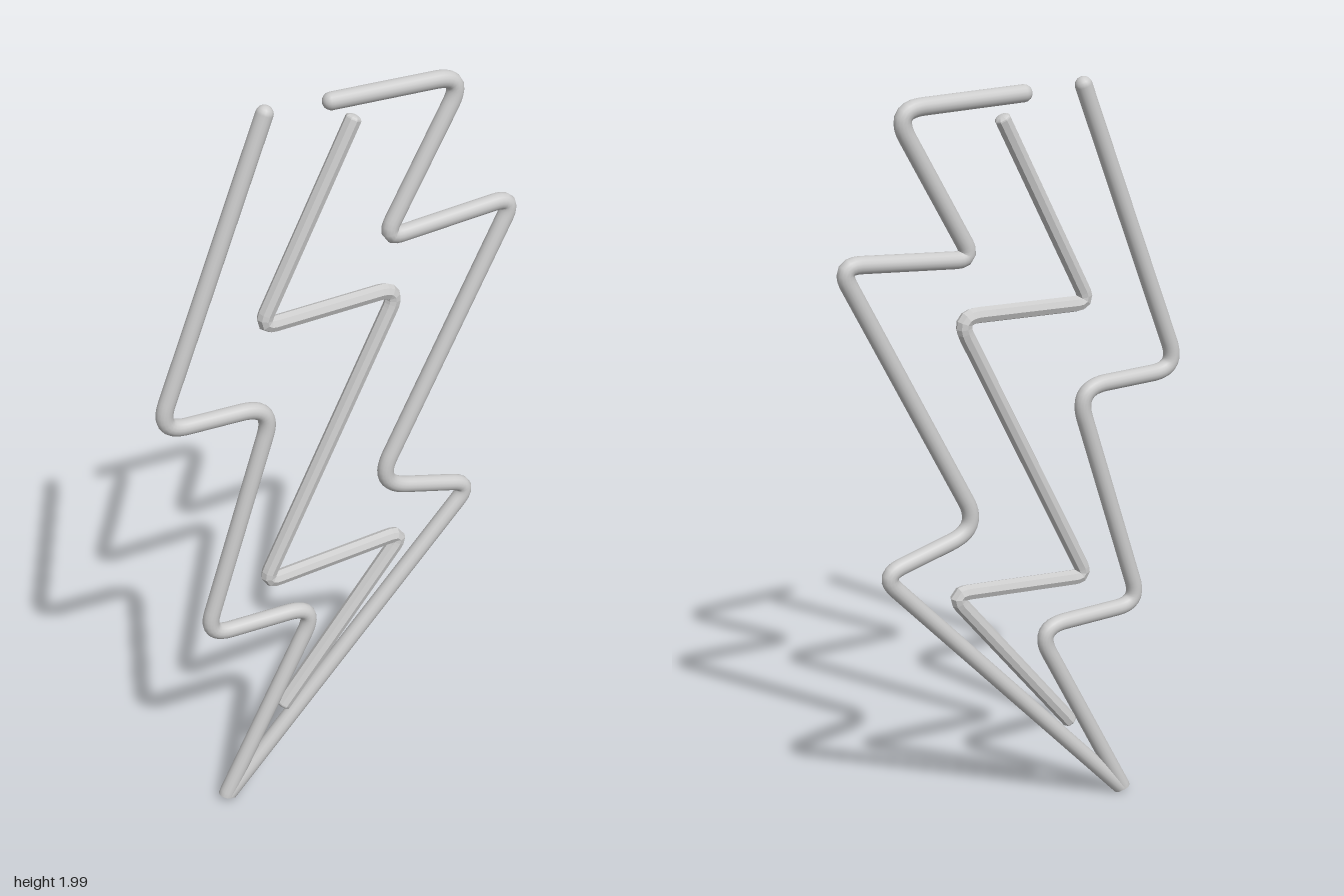
import * as THREE from 'three';

// Planar path through corner points [x, y, d]; d is how far the rounding starts from the corner
function roundedPath(corners) {
  const path = new THREE.CurvePath();
  path.arcLengthDivisions = 1500;
  const pts = corners.map(([x, y]) => new THREE.Vector3(x, y, 0));
  let from = pts[0];
  for (let i = 1; i < pts.length - 1; i++) {
    const d = corners[i][2];
    const toward = (p) => p.clone().sub(pts[i]).setLength(d).add(pts[i]);
    const a = toward(pts[i - 1]);
    const b = toward(pts[i + 1]);
    path.add(new THREE.LineCurve3(from, a));
    path.add(new THREE.QuadraticBezierCurve3(a, pts[i], b));
    from = b;
  }
  path.add(new THREE.LineCurve3(from, pts[pts.length - 1]));
  return path;
}

// Tube along the path with a dome on each end
function rod(name, corners, radius, sides, segments, material, domeHeight) {
  const group = new THREE.Group();
  group.name = name;
  const path = roundedPath(corners);
  const tube = new THREE.Mesh(new THREE.TubeGeometry(path, segments, radius, sides), material);
  tube.name = name + 'Tube';
  group.add(tube);

  const up = new THREE.Vector3(0, 1, 0);
  for (const t of [0, 1]) {
    const dome = new THREE.SphereGeometry(radius, sides, 5, 0, Math.PI * 2, 0, Math.PI / 2);
    const cap = new THREE.Mesh(dome, material);
    cap.name = name + (t ? 'EndCap' : 'StartCap');
    cap.scale.y = domeHeight;
    cap.position.copy(path.getPointAt(t));
    cap.quaternion.setFromUnitVectors(up, path.getTangentAt(t).multiplyScalar(t ? 1 : -1));
    group.add(cap);
  }
  return group;
}

export function createModel() {
  const model = new THREE.Group();
  model.name = 'lightningBolt';
  const smooth = new THREE.MeshStandardMaterial({ color: 0xcccccc });
  const faceted = new THREE.MeshStandardMaterial({ color: 0xcccccc, flatShading: true });

  // Outer outline, open at the top
  model.add(rod('outerOutline', [
    [-0.02, 1.978],
    [0.33, 1.978, 0.08],
    [0.12, 1.592, 0.05],
    [0.48, 1.63, 0.06],
    [0.105, 0.89, 0.09],
    [0.387, 0.82, 0.06],
    [-0.345, 0.01, 0.03],
    [-0.06, 0.569, 0.09],
    [-0.38, 0.569, 0.07],
    [-0.175, 1.209, 0.09],
    [-0.485, 1.209, 0.08],
    [-0.188, 1.979],
  ], 0.0215, 16, 500, smooth, 1));

  // Inner zigzag, faceted
  model.add(rod('innerZigzag', [
    [0.037, 1.923],
    [-0.209, 1.431, 0.04],
    [0.165, 1.453, 0.06],
    [-0.212, 0.685, 0.04],
    [0.19, 0.725, 0.05],
    [-0.164, 0.275],
  ], 0.0205, 8, 220, faceted, 0.5));

  return model;
}
